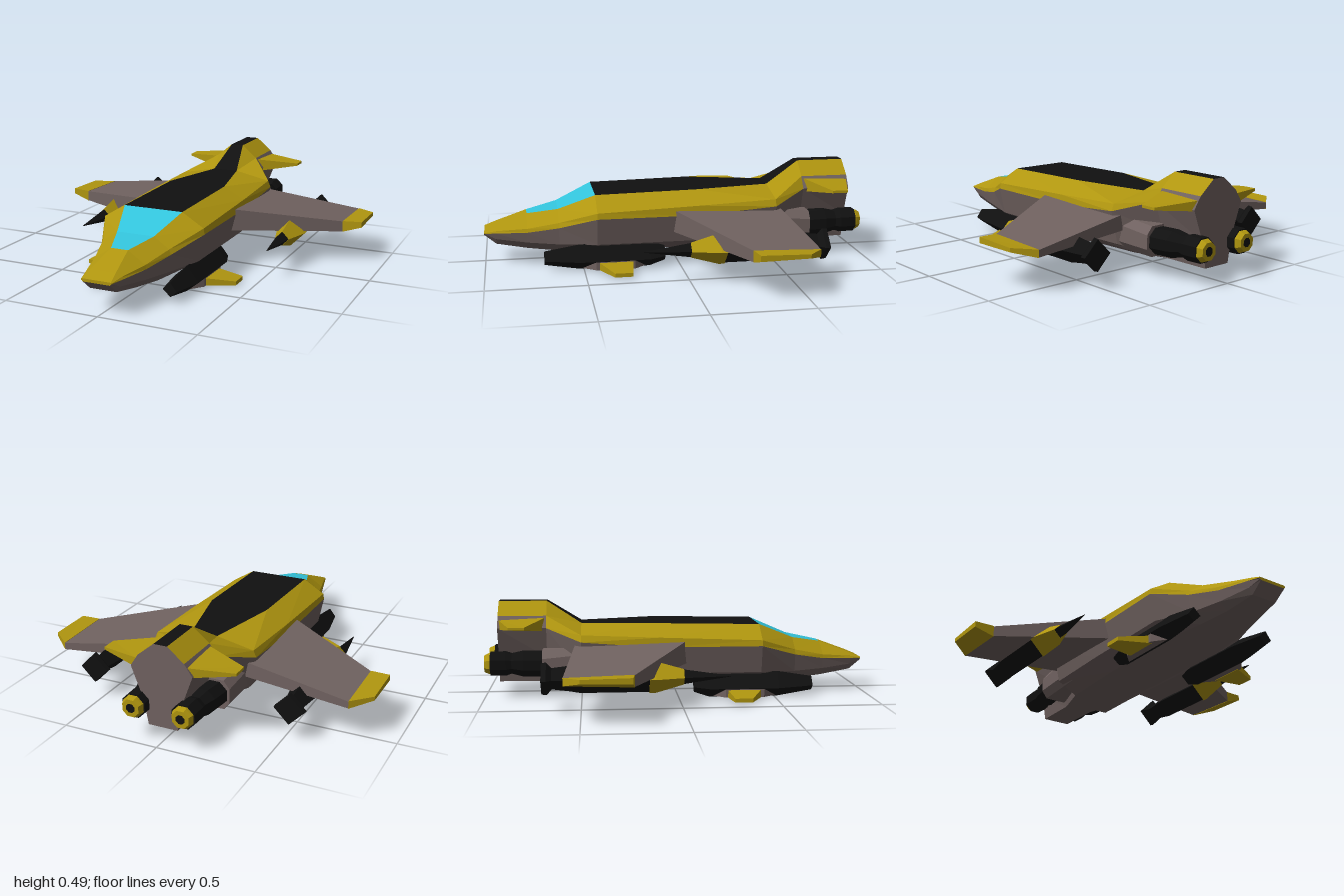
import * as THREE from 'three';

const paint = (color) => new THREE.MeshStandardMaterial({ color, flatShading: true });
const YELLOW = paint(0xb0960f), GREY = paint(0x706260), BLACK = paint(0x101010), GLASS = paint(0x33c4dc);

// Faceted geometry from a flat list of corner points
function facets(points) {
  const g = new THREE.BufferGeometry();
  g.setAttribute('position', new THREE.Float32BufferAttribute(points.flat(), 3));
  g.computeVertexNormals();
  return g;
}

// Skin strips first..last between rings (clockwise when looking along the loft)
function skin(rings, first, last) {
  const out = [], n = rings[0].length;
  for (let i = 0; i < rings.length - 1; i++) {
    for (let k = first; k <= last; k++) {
      const a = rings[i][k % n], b = rings[i][(k + 1) % n];
      const c = rings[i + 1][(k + 1) % n], d = rings[i + 1][k % n];
      out.push(a, b, c, a, c, d);
    }
  }
  return out;
}

function cap(ring, atEnd) {
  const out = [];
  for (let k = 1; k < ring.length - 1; k++) {
    out.push(ring[0], ...(atEnd ? [ring[k], ring[k + 1]] : [ring[k + 1], ring[k]]));
  }
  return out;
}

// Closed solid through a list of rings
const solid = (rings) => [
  ...skin(rings, 0, rings[0].length - 1), ...cap(rings[0], false), ...cap(rings[rings.length - 1], true),
];

// Mirrored copy across x = 0, with the winding reversed
function mirrored(points) {
  const out = [];
  for (let i = 0; i < points.length; i += 3) {
    for (const j of [0, 2, 1]) {
      const [x, y, z] = points[i + j];
      out.push([-x, y, z]);
    }
  }
  return out;
}

// Spindle along z from [z, radius, x offset] steps, with a corner at the top
function spindle(steps, sides, x, y, turn = 0) {
  return solid(steps.map(([z, r, dx = 0]) => Array.from({ length: sides }, (_, k) => {
    const a = (k + turn) / sides * Math.PI * 2;
    return [x + dx + r * Math.sin(a), y + r * Math.cos(a), z];
  })));
}

// Wing section: leading and trailing z, top and bottom y, thinning aft
const rib = (x, zf, zb, top, bottom, thin = 0) => [
  [x, top - thin, zb], [x, top, zf], [x, bottom, zf], [x, bottom + thin, zb],
];

export function createModel() {
  const model = new THREE.Group();
  const add = (name, material, points) => {
    const mesh = new THREE.Mesh(facets(points), material);
    mesh.name = name;
    model.add(mesh);
  };
  const pair = (name, material, points) => {
    add(name + 'Left', material, points);
    add(name + 'Right', material, mirrored(points));
  };

  // Hull half sections: z, then roof edge, shoulder, waist, chine, keel edge
  const hull = [
    [1.0, [0.075, 0.175], [0.08, 0.172], [0.08, 0.168], [0.075, 0.165], [0.07, 0.16]],
    [0.94, [0.067, 0.2], [0.092, 0.183], [0.098, 0.172], [0.09, 0.14], [0.07, 0.11]],
    [0.78, [0.045, 0.26], [0.135, 0.2], [0.14, 0.18], [0.13, 0.125], [0.09, 0.085]],
    [0.62, [0.1, 0.29], [0.18, 0.235], [0.19, 0.21], [0.175, 0.12], [0.12, 0.072]],
    [0.43, [0.16, 0.37], [0.275, 0.3], [0.28, 0.27], [0.25, 0.13], [0.15, 0.07]],
    [-0.1, [0.16, 0.38], [0.275, 0.32], [0.28, 0.27], [0.25, 0.13], [0.15, 0.07]],
    [-0.5, [0.07, 0.375], [0.265, 0.335], [0.28, 0.3], [0.24, 0.13], [0.13, 0.07]],
    [-0.68, [0.035, 0.49], [0.12, 0.42], [0.16, 0.36], [0.11, 0.2], [0.08, 0.07]],
    [-0.93, [0.035, 0.49], [0.12, 0.42], [0.16, 0.36], [0.1, 0.2], [0.077, 0.07]],
  ].map(([z, ...half]) => [
    ...half.map(([x, y]) => [x, y, z]),
    ...half.map(([x, y]) => [-x, y, z]).reverse(),
  ]);
  const front = hull.slice(0, 8), tail = hull.slice(7);
  add('noseDeck', YELLOW, skin(hull.slice(0, 3), 9, 9));
  add('canopy', GLASS, skin(hull.slice(2, 5), 9, 9));
  add('spineStripe', BLACK, skin(hull.slice(4), 9, 9));
  pair('upperHull', YELLOW, skin(front, 0, 1));
  pair('tailRoof', YELLOW, skin(tail, 0, 0));
  pair('tailSide', GREY, skin(tail, 1, 1));
  add('lowerHull', GREY, skin(hull, 2, 6));
  add('noseTip', YELLOW, cap(hull[0], false));
  add('sternPlate', GREY, cap(hull[8], true));

  // Main wings with coloured tips
  pair('wing', GREY, solid([rib(0.22, 0.06, -0.53, 0.305, 0.185, 0.02), rib(0.78, -0.25, -0.58, 0.22, 0.165, 0.01)]));
  pair('wingTip', YELLOW, solid([rib(0.78, -0.25, -0.58, 0.222, 0.163, 0.01), rib(0.88, -0.26, -0.5, 0.225, 0.195, 0.005)]));

  // Tail fins
  pair('tailFin', YELLOW, solid([rib(0.13, -0.69, -0.925, 0.41, 0.34, 0.01), rib(0.345, -0.78, -0.86, 0.387, 0.374)]));

  // Underwing guns: spike, collar, body and flared end
  pair('gunSpike', BLACK, spindle([[0.23, 0.002], [0, 0.036]], 4, 0.53, 0.163));
  pair('gunCollar', YELLOW, spindle([[0, 0.038], [-0.14, 0.078], [-0.17, 0.078]], 4, 0.53, 0.163));
  pair('gunBody', BLACK, spindle([[-0.15, 0.072], [-0.5, 0.072], [-0.56, 0.062], [-0.64, 0.052],
    [-0.665, 0.08], [-0.69, 0.076]], 4, 0.53, 0.163));

  // Engine fairings, engines and nozzles beside the tail
  const fairing = (z, x0, x1, y0, y1) => [[x0, y1, z], [x1 - 0.03, y1, z], [x1, y1 - 0.04, z],
    [x1, y0 + 0.04, z], [x1 - 0.03, y0, z], [x0, y0, z]];
  pair('engineFairing', GREY, solid([fairing(-0.4, 0.05, 0.24, 0.11, 0.28), fairing(-0.7, 0.07, 0.232, 0.1, 0.25)]));
  pair('engine', BLACK, spindle([[-0.69, 0.07, 0.025], [-0.8, 0.07, 0.012], [-0.86, 0.055, 0.005],
    [-0.89, 0.066], [-0.97, 0.064]], 8, 0.13, 0.175, 0.5));
  pair('engineNozzle', YELLOW, spindle([[-0.96, 0.06], [-0.98, 0.055], [-1.0, 0.046]], 8, 0.13, 0.175, 0.5));
  pair('nozzleCore', BLACK, spindle([[-0.98, 0.024], [-1.0005, 0.024]], 8, 0.13, 0.175, 0.5));

  // Tilted pods under the hull
  const podCorners = [[0.226, 0.13], [0.288, 0.05], [0.226, 0], [0.155, 0.065]];
  const podRings = [[0.7, 0.55], [0.52, 1], [0.16, 1], [0.08, 0.6]].map(([z, s]) =>
    podCorners.map(([x, y]) => [0.22 + (x - 0.22) * s, 0.065 + (y - 0.065) * s, z]));
  pair('pod', BLACK, solid(podRings));

  // Pod fins with grey roots
  pair('podFinRoot', GREY, solid([rib(0.23, 0.51, 0.18, 0.06, 0.005), rib(0.285, 0.44, 0.24, 0.048, 0.005)]));
  pair('podFin', YELLOW, solid([rib(0.27, 0.43, 0.25, 0.045, 0.004), rib(0.42, 0.36, 0.27, 0.026, 0.006)]));

  return model;
}
